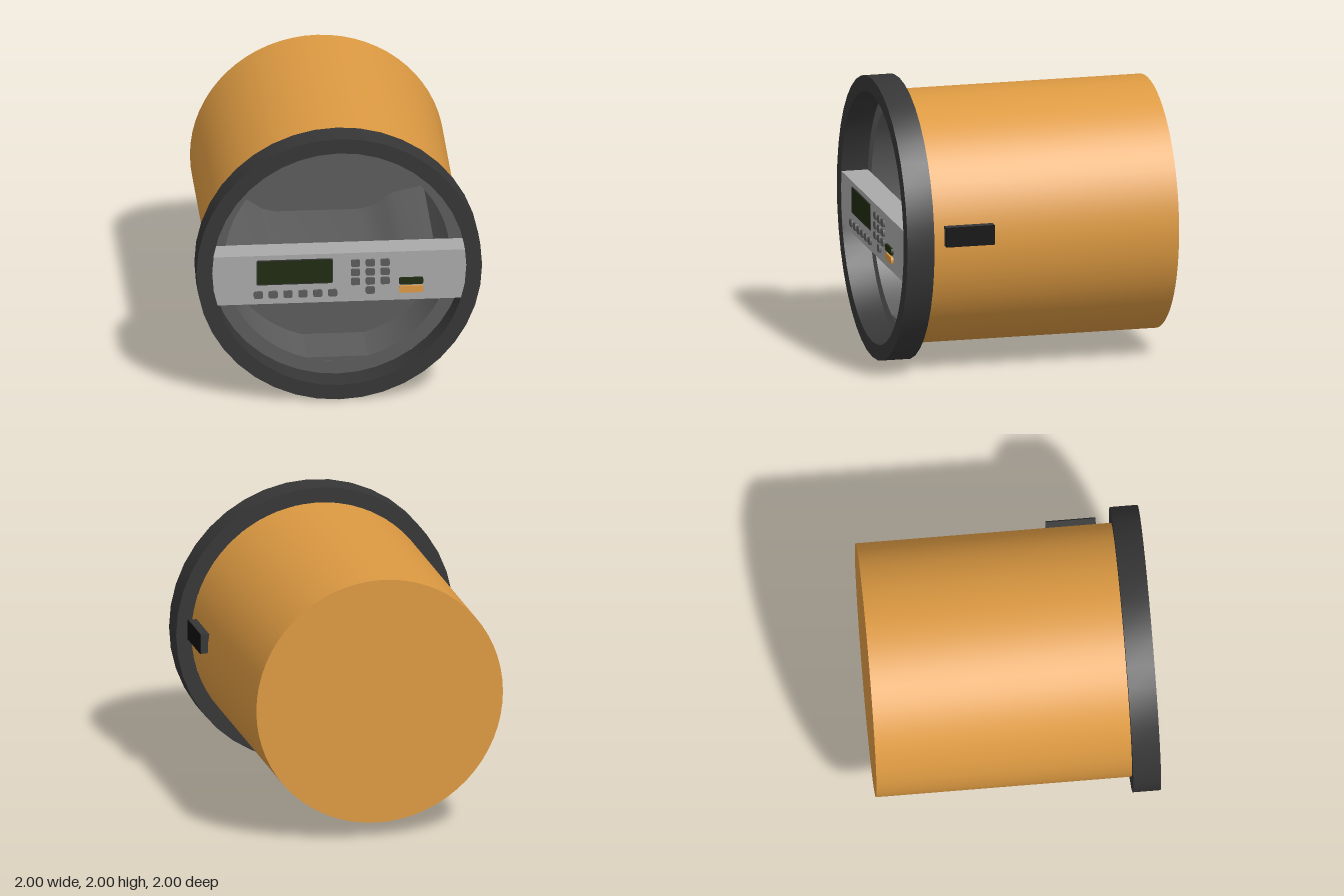
import * as THREE from 'three';
import { toCreasedNormals } from 'three/addons/utils/BufferGeometryUtils.js';

const material = (name, color) => {
  const m = new THREE.MeshStandardMaterial({ color });
  m.name = name;
  return m;
};

export function createModel() {
  const orange = material('orange', 0xdd9a42);
  const charcoal = material('charcoal', 0x363636);
  const darkGrey = material('dark grey', 0x5c5c5c);
  const lightGrey = material('light grey', 0xa9a9a9);
  const black = material('black', 0x101010);
  const green = material('dark green', 0x1f2b0f);

  const model = new THREE.Group();
  model.name = 'drumDevice';
  const body = new THREE.Group(); // drum axis lies along z at height 1
  body.name = 'body';
  body.position.y = 1;
  model.add(body);

  const add = (name, geometry, mat, x = 0, y = 0, z = 0) => {
    const mesh = new THREE.Mesh(geometry, mat);
    mesh.name = name;
    mesh.position.set(x, y, z);
    body.add(mesh);
    return mesh;
  };

  // Profiles are [radius, z] pairs turned about the z axis
  const turned = (profile, segments) => {
    const g = new THREE.LatheGeometry(profile.map(p => new THREE.Vector2(...p)), segments);
    return toCreasedNormals(g.rotateX(Math.PI / 2), 0.5);
  };

  // Front outline pushed from z0 to z1
  const extruded = (shape, z0, z1) => {
    const g = new THREE.ExtrudeGeometry(shape, { depth: z1 - z0, bevelEnabled: false, curveSegments: 24 });
    return toCreasedNormals(g.translate(0, 0, z0), 0.5);
  };

  const roundedRect = (w, h, r) => {
    const s = new THREE.Shape();
    const corners = [[1, -1, -0.5], [1, 1, 0], [-1, 1, 0.5], [-1, -1, 1]];
    for (const [sx, sy, a] of corners) {
      s.absarc(sx * (w / 2 - r), sy * (h / 2 - r), r, a * Math.PI, (a + 0.5) * Math.PI, false);
    }
    s.closePath();
    return s;
  };

  // Outer drum, inner chamber and front ring
  add('drumShell', turned([[0, -1], [0.89, -1], [0.89, 0.79]], 64), orange);
  add('chamber', turned([[0.89, 0.792], [0.79, 0.792], [0.79, -0.95], [0, -0.95]], 64), darkGrey);
  add('frontRing', turned([[0.89, 0.79], [1, 0.79], [1, 0.985], [0.89, 0.985], [0.89, 0.79]], 40), charcoal);

  // Tray with a sunken middle, filling the lower chamber
  const half = [[0.745, -0.27], [0.53, -0.315], [0.46, -0.36], [0.39, -0.41], [0.3, -0.435]];
  const start = Math.atan2(-0.27, 0.745);
  const tray = new THREE.Shape();
  tray.absarc(0, 0, 0.79, Math.PI - start, 2 * Math.PI + start, false);
  half.forEach(([x, y]) => tray.lineTo(x, y));
  half.slice().reverse().forEach(([x, y]) => tray.lineTo(-x, y));
  add('tray', extruded(tray, -0.95, 0.4), darkGrey);

  // Flat strip on the chamber floor in front of the tray
  const chord = Math.asin(0.76 / 0.79);
  const floor = new THREE.Shape();
  floor.absarc(0, 0, 0.79, Math.PI + chord, 2 * Math.PI - chord, false);
  floor.closePath();
  add('floorStrip', extruded(floor, 0.4, 0.79), darkGrey);

  // Curved black plates on the chamber wall
  const wallPlate = (name, a0, a1, z0, z1) => {
    const s = new THREE.Shape();
    s.absarc(0, 0, 0.79, a0, a1, false);
    s.absarc(0, 0, 0.77, a1, a0, true);
    s.closePath();
    add(name, extruded(s, z0, z1), black);
  };
  const deg = Math.PI / 180;
  wallPlate('leftWallPlate', 18 * deg, 54 * deg, -0.35, 0.5);
  wallPlate('rightWallPlate', 126 * deg, 162 * deg, -0.35, 0.5);
  add('topPlate', new THREE.BoxGeometry(0.25, 0.012, 0.5), black, 0, 0.784, 0.2);

  // Control panel bar with ends fitted to the ring
  const top = Math.asin(0.12 / 0.89), bottom = Math.asin(0.25 / 0.89);
  const bar = new THREE.Shape();
  bar.absarc(0, 0, 0.89, -bottom, top, false);
  bar.absarc(0, 0, 0.89, Math.PI - top, Math.PI + bottom, false);
  bar.closePath();
  add('controlPanel', extruded(bar, 0.79, 0.982), lightGrey);

  // Display, keys and indicator buttons
  const face = (name, w, h, r, mat, x, y, z1 = 0.998) =>
    add(name, extruded(roundedRect(w, h, r), 0.975, z1), mat, x, y);
  face('displayFrame', 0.535, 0.19, 0.012, charcoal, -0.313, -0.01, 0.985);
  face('display', 0.52, 0.175, 0.012, green, -0.313, -0.01, 0.988);
  for (let i = 0; i < 6; i++) {
    face('functionKey', 0.064, 0.052, 0.014, darkGrey, -0.567 + i * 0.104, -0.176);
  }
  for (let row = 0; row < 4; row++) {
    for (let col = 0; col < 3; col++) {
      if (row === 3 && col !== 1) continue;
      face('numberKey', 0.064, 0.052, 0.014, darkGrey, 0.113 + col * 0.104, 0.045 - row * 0.07);
    }
  }
  face('greenButton', 0.17, 0.05, 0.014, green, 0.503, -0.103);
  face('orangeButton', 0.17, 0.05, 0.014, orange, 0.503, -0.166);

  // Side latch box with a dark cover
  add('sideBox', new THREE.BoxGeometry(0.075, 0.14, 0.35), charcoal, 0.9, 0.07, 0.515);
  add('sideBoxCover', new THREE.BoxGeometry(0.008, 0.14, 0.35), black, 0.941, 0.07, 0.515);

  return model;
}
